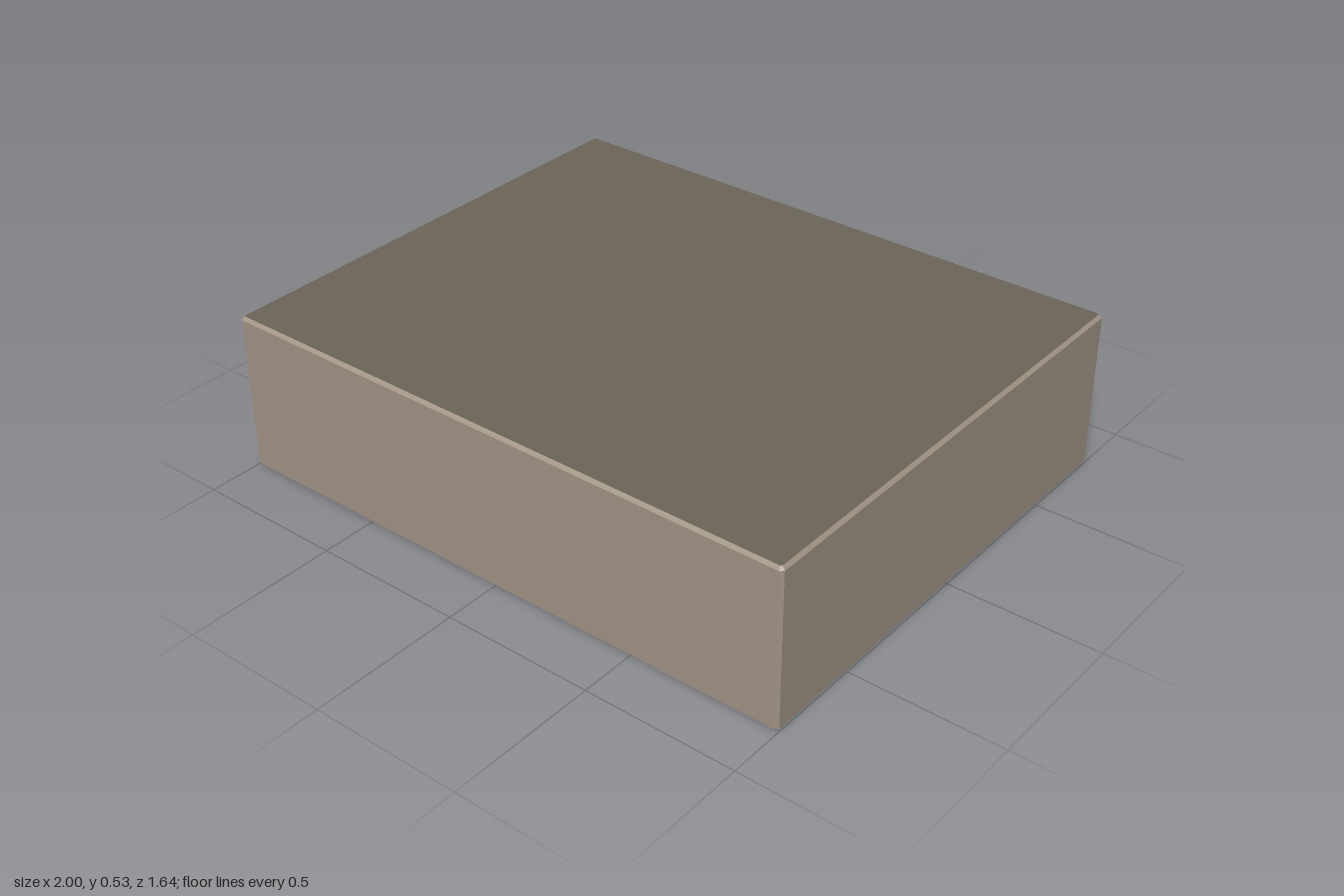
import * as THREE from 'three';

const wallPaint = new THREE.MeshStandardMaterial({ name: 'taupe walls', color: 0xa09383 });
const capPaint = new THREE.MeshStandardMaterial({ name: 'dark taupe', color: 0x6c6458 });

const W = 2, H = 0.53, FRONT = 0.82, BACK = -0.803, C = 0.01;

// Chamfered case: dark top and bottom, lighter walls and edges
function makeCase() {
  const x = W / 2, f = -FRONT, b = -BACK;
  const outline = new THREE.Shape([
    [-x + C, f], [x - C, f], [x, f + C], [x, b - C],
    [x - C, b], [-x + C, b], [-x, b - C], [-x, f + C],
  ].map(([px, py]) => new THREE.Vector2(px, py)));
  const geometry = new THREE.ExtrudeGeometry(outline, {
    depth: H - 2 * C, bevelEnabled: true, bevelSegments: 1,
    bevelSize: C, bevelThickness: C, bevelOffset: -C,
  });
  geometry.rotateX(-Math.PI / 2).translate(0, C, 0);
  const mesh = new THREE.Mesh(geometry, [capPaint, wallPaint]);
  mesh.name = 'case';
  return mesh;
}

// One rear stud: a small block with a thin horizontal lip
function makeStud() {
  const stud = new THREE.Group();
  stud.name = 'rearStud';
  const add = (name, w, h, depth) => {
    const mesh = new THREE.Mesh(new THREE.BoxGeometry(w, h, depth), capPaint);
    mesh.name = name;
    mesh.position.z = -depth / 2;
    stud.add(mesh);
  };
  add('studBlock', 0.044, 0.042, 0.014);
  add('studLip', 0.05, 0.01, 0.022);
  return stud;
}

export function createModel() {
  const model = new THREE.Group();
  model.name = 'box';
  model.add(makeCase());

  // Three sloping rows of five studs on the back
  for (const centre of [-0.433, 0, 0.433]) {
    const row = new THREE.Group();
    row.name = 'studRow';
    row.position.set(centre, 0.18, BACK);
    for (let i = -2; i <= 2; i++) {
      const stud = makeStud();
      stud.position.set(i * 0.062, i * 0.027, 0);
      row.add(stud);
    }
    model.add(row);
  }
  return model;
}
